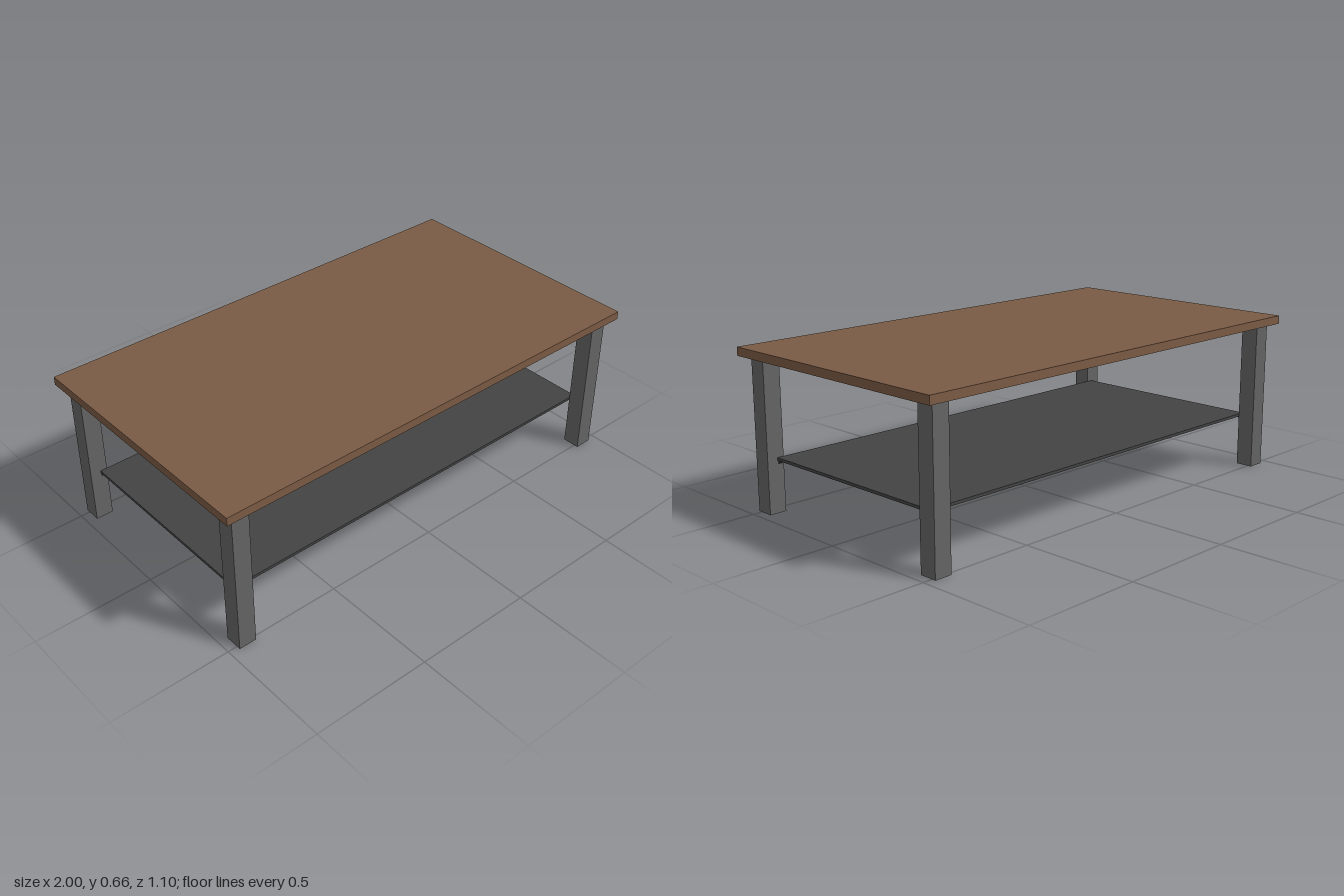
import * as THREE from 'three';

const wood = new THREE.MeshStandardMaterial({ name: 'brownWood', color: 0x7a5b44 });
const legGrey = new THREE.MeshStandardMaterial({ name: 'legGrey', color: 0x646464 });
const shelfGrey = new THREE.MeshStandardMaterial({ name: 'shelfGrey', color: 0x434343 });

// Box spanning a height range, centred on (x, z)
function block(name, material, width, depth, bottom, top, x = 0, z = 0) {
  const mesh = new THREE.Mesh(new THREE.BoxGeometry(width, top - bottom, depth), material);
  mesh.name = name;
  mesh.position.set(x, (bottom + top) / 2, z);
  return mesh;
}

export function createModel() {
  const table = new THREE.Group();
  table.name = 'coffeeTable';

  table.add(block('tableTop', wood, 2, 1.1, 0.624, 0.659));
  table.add(block('shelf', shelfGrey, 1.83, 0.886, 0.213, 0.225));

  // Triangular bracket profile: one side on the leg, one under the shelf
  const profile = new THREE.Shape();
  profile.moveTo(0, 0);
  profile.lineTo(0.014, 0);
  profile.lineTo(0, -0.014);
  profile.closePath();
  const bracketGeometry = new THREE.ExtrudeGeometry(profile, { depth: 0.018, bevelEnabled: false });
  bracketGeometry.translate(0, 0, -0.009);

  // Four square legs, each with a small bracket holding the shelf
  for (const sx of [-1, 1]) {
    for (const sz of [-1, 1]) {
      const side = (sz > 0 ? 'front' : 'back') + (sx > 0 ? 'Left' : 'Right');
      table.add(block(side + 'Leg', legGrey, 0.074, 0.074, 0, 0.624, sx * 0.923, sz * 0.48));
      const bracket = new THREE.Mesh(bracketGeometry, shelfGrey);
      bracket.name = side + 'Bracket';
      bracket.position.set(sx * 0.902, 0.213, sz * 0.443);
      bracket.rotation.y = sz * Math.PI / 2;
      table.add(bracket);
    }
  }
  return table;
}
